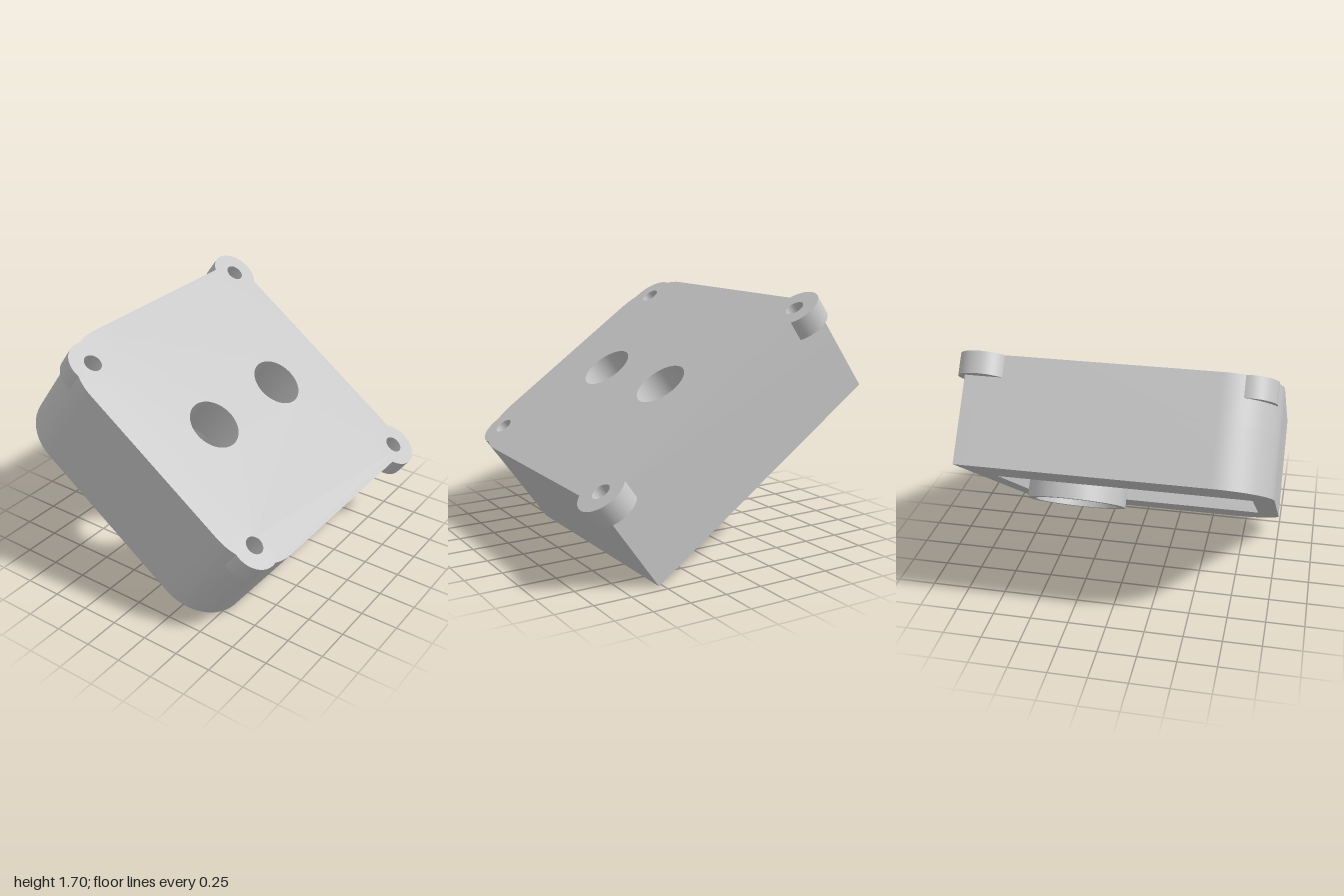
import * as THREE from 'three';
import { toCreasedNormals } from 'three/addons/utils/BufferGeometryUtils.js';

const HALF = 0.937, BACK = -0.937, FRONT = 1, HEIGHT = 0.697;
const PLATE = 0.31, CORNER = 0.36;

// Outline seen from above (shape y = -z): square at the back, rounded at the front
function outline() {
  const x = HALF, b = -BACK, f = -FRONT, r = CORNER;
  const s = new THREE.Shape();
  s.moveTo(-x, b);
  s.lineTo(-x, f + r);
  s.absarc(-x + r, f + r, r, Math.PI, Math.PI * 1.5, false);
  s.lineTo(x - r, f);
  s.absarc(x - r, f + r, r, Math.PI * 1.5, Math.PI * 2, false);
  s.lineTo(x, b);
  s.closePath();
  return s;
}

function circle(x, z, r, Type = THREE.Path) {
  const c = new Type();
  c.absarc(x, -z, r, 0, Math.PI * 2, false);
  return c;
}

function rectangle(halfX, back, front) {
  return new THREE.Path([[-halfX, -back], [halfX, -back], [halfX, -front], [-halfX, -front]]
    .map(([x, y]) => new THREE.Vector2(x, y))).closePath();
}

export function createModel() {
  const grey = new THREE.MeshStandardMaterial({ color: 0xc5c5c5 });
  grey.name = 'grey';
  const model = new THREE.Group();
  model.name = 'tiltedHousing';

  // Extrudes a plan shape between two heights
  function slab(name, shape, y0, y1) {
    let geo = new THREE.ExtrudeGeometry(shape, { depth: y1 - y0, bevelEnabled: false, curveSegments: 32 });
    geo.rotateX(-Math.PI / 2);
    geo.translate(0, y0, 0);
    geo = toCreasedNormals(geo, 0.5);
    const mesh = new THREE.Mesh(geo, grey);
    mesh.name = name;
    model.add(mesh);
  }

  const screws = [];
  for (const side of [-1, 1]) screws.push([side * 0.851, -0.837], [side * 0.75, 0.81]);
  const rearZ = -0.355, frontZ = 0.375, bore = 0.176;

  // Thick top plate with two large openings and four screw holes
  const plate = outline();
  plate.holes.push(circle(0, rearZ, bore), circle(0, frontZ, bore));
  for (const [x, z] of screws) plate.holes.push(circle(x, z, 0.06));
  slab('topPlate', plate, HEIGHT - PLATE, HEIGHT);

  // Lower body: heavy sides around a rectangular pocket, open underneath
  const walls = outline();
  walls.holes.push(rectangle(0.435, -0.8, 0.86));
  slab('lowerBody', walls, 0, HEIGHT - PLATE);

  // Round screw ears level with the top
  for (const [x, z] of screws) {
    const ear = circle(x, z, 0.163, THREE.Shape);
    ear.holes.push(circle(x, z, 0.06));
    slab('screwEar', ear, HEIGHT - 0.14, HEIGHT);
  }

  // Boss below the rear opening, ending in a projecting collar
  const boss = circle(0, rearZ, 0.335, THREE.Shape);
  boss.holes.push(circle(0, rearZ, bore));
  slab('rearBoss', boss, 0, HEIGHT - PLATE);
  const collar = circle(0, rearZ, 0.335, THREE.Shape);
  collar.holes.push(circle(0, rearZ, 0.28));
  slab('bossCollar', collar, -0.09, 0);

  // Lean the housing down towards +x
  model.rotation.z = -THREE.MathUtils.degToRad(35.5);
  model.position.set(-0.2375, 0.545, 0);
  const root = new THREE.Group();
  root.name = 'housing';
  root.add(model);
  return root;
}
